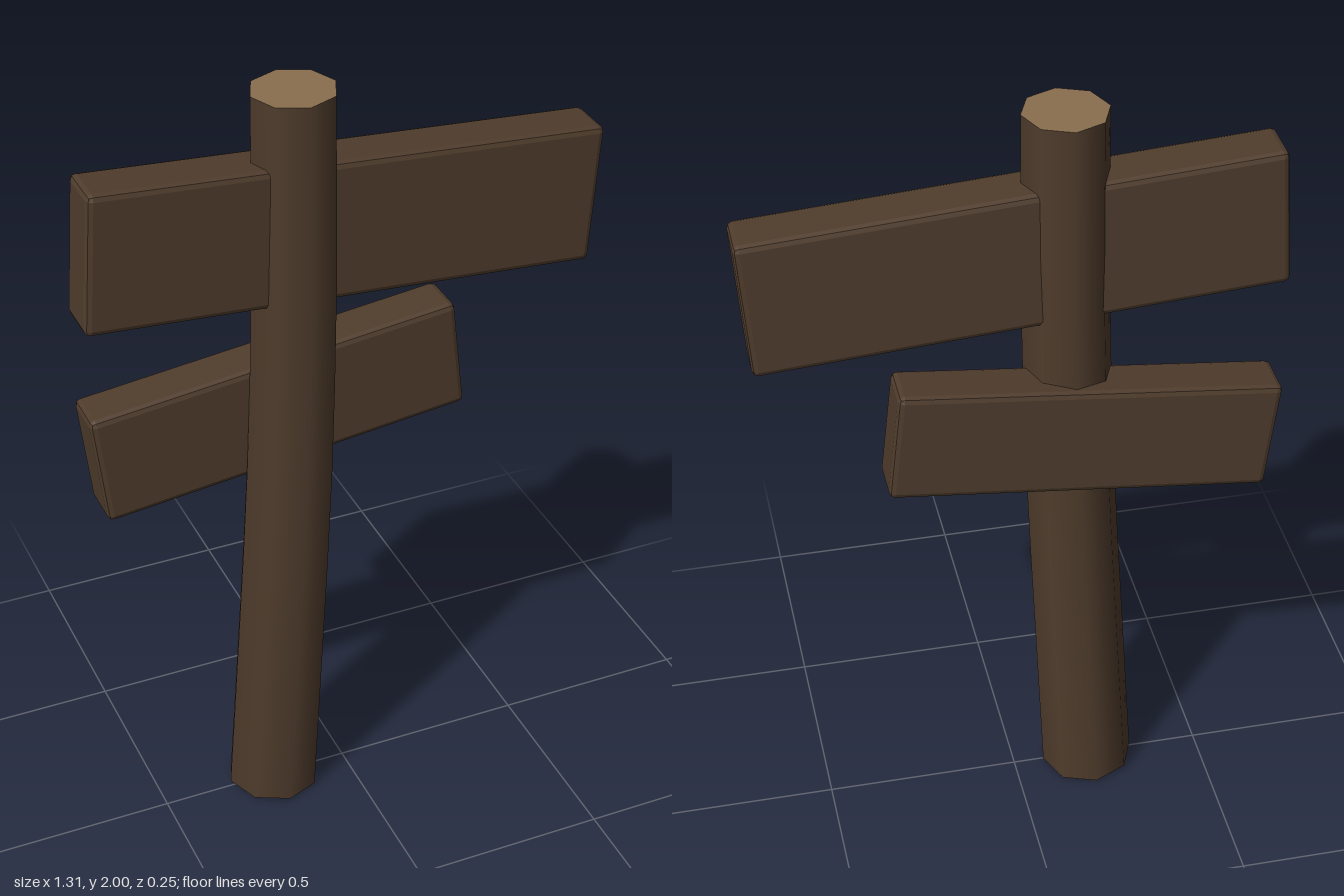
import * as THREE from 'three';
import { RoundedBoxGeometry } from 'three/addons/geometries/RoundedBoxGeometry.js';

const darkWood = new THREE.MeshStandardMaterial({ color: 0x4f3c2c });
darkWood.name = 'dark wood';
const cutWood = new THREE.MeshStandardMaterial({ color: 0x8b6f4e });
cutWood.name = 'cut wood';

// Eight-sided post, tapered and bent along a gentle curve
function makePost() {
  const height = 1.99;
  const geometry = new THREE.CylinderGeometry(0.104, 0.12, height, 8, 8);
  const bend = new THREE.CatmullRomCurve3([
    new THREE.Vector3(-0.2, 0.01, -0.002),
    new THREE.Vector3(-0.172, 0.5, 0.007),
    new THREE.Vector3(-0.144, 1.0, 0.011),
    new THREE.Vector3(-0.125, 1.5, 0.006),
    new THREE.Vector3(-0.117, 2.0, -0.003),
  ]);
  const pos = geometry.attributes.position;
  for (let i = 0; i < pos.count; i++) {
    const t = THREE.MathUtils.clamp(pos.getY(i) / height + 0.5, 0, 1);
    const c = bend.getPoint(t);
    const x = pos.getX(i);
    // Each ring tilts with the lean, which fades out towards the top
    pos.setXYZ(i, c.x + x, c.y - x * 0.06 * (1 - t), c.z + pos.getZ(i));
  }
  // Groups: side, top cut, bottom
  const post = new THREE.Mesh(geometry, [darkWood, cutWood, darkWood]);
  post.name = 'post';
  return post;
}

// Plank with narrow bevelled edges
function makeBoard(name, [length, height, depth], [x, y, z], tilt) {
  const geometry = new RoundedBoxGeometry(length, height, depth, 1, 0.015);
  geometry.computeVertexNormals();
  const board = new THREE.Mesh(geometry, darkWood);
  board.name = name;
  board.position.set(x, y, z);
  board.rotation.z = tilt;
  return board;
}

export function createModel() {
  const group = new THREE.Group();
  group.name = 'signpost';
  group.add(
    makePost(),
    makeBoard('upperBoard', [1.29, 0.357, 0.132], [0, 1.643, -0.006], -0.07),
    makeBoard('lowerBoard', [0.948, 0.293, 0.128], [-0.155, 1.147, -0.057], 0.111),
  );
  return group;
}
